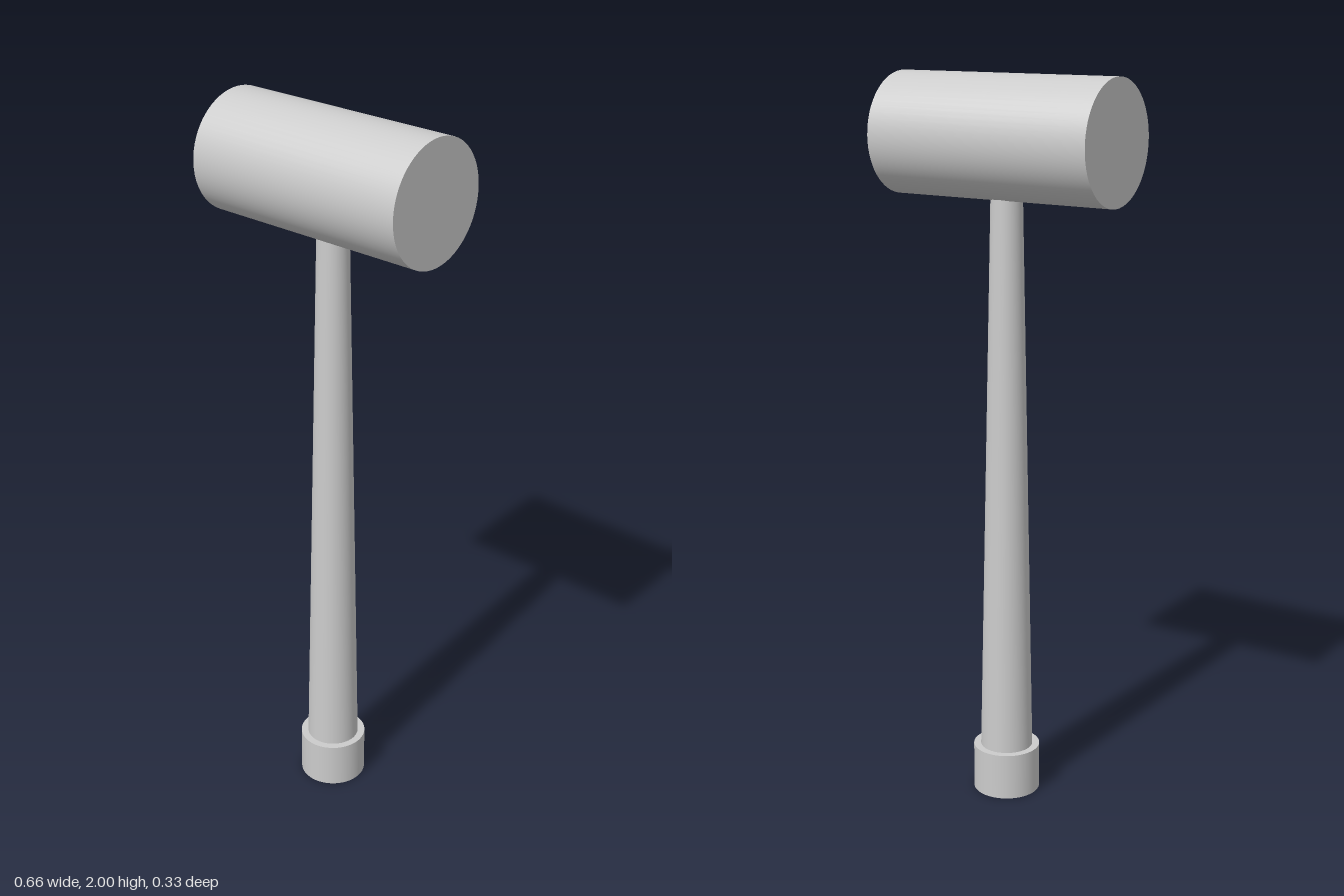
import * as THREE from 'three';

export function createModel() {
  const group = new THREE.Group();
  const material = new THREE.MeshStandardMaterial({ color: 0xcccccc });

  // Upright round part between two heights
  function addRound(name, rTop, rBottom, y0, y1) {
    const geometry = new THREE.CylinderGeometry(rTop, rBottom, y1 - y0, 64);
    const mesh = new THREE.Mesh(geometry, material);
    mesh.name = name;
    mesh.position.y = (y0 + y1) / 2;
    group.add(mesh);
    return mesh;
  }

  // End cap and tapered handle, its top sunk into the head
  addRound('pommel', 0.093, 0.093, 0, 0.131);
  addRound('handle', 0.042, 0.073, 0.131, 1.72);

  // Cylindrical head lying along x
  const headRadius = 0.163;
  const head = addRound('head', headRadius, headRadius, 0, 0.656);
  head.rotation.z = Math.PI / 2;
  head.position.y = 2 - headRadius;

  return group;
}
